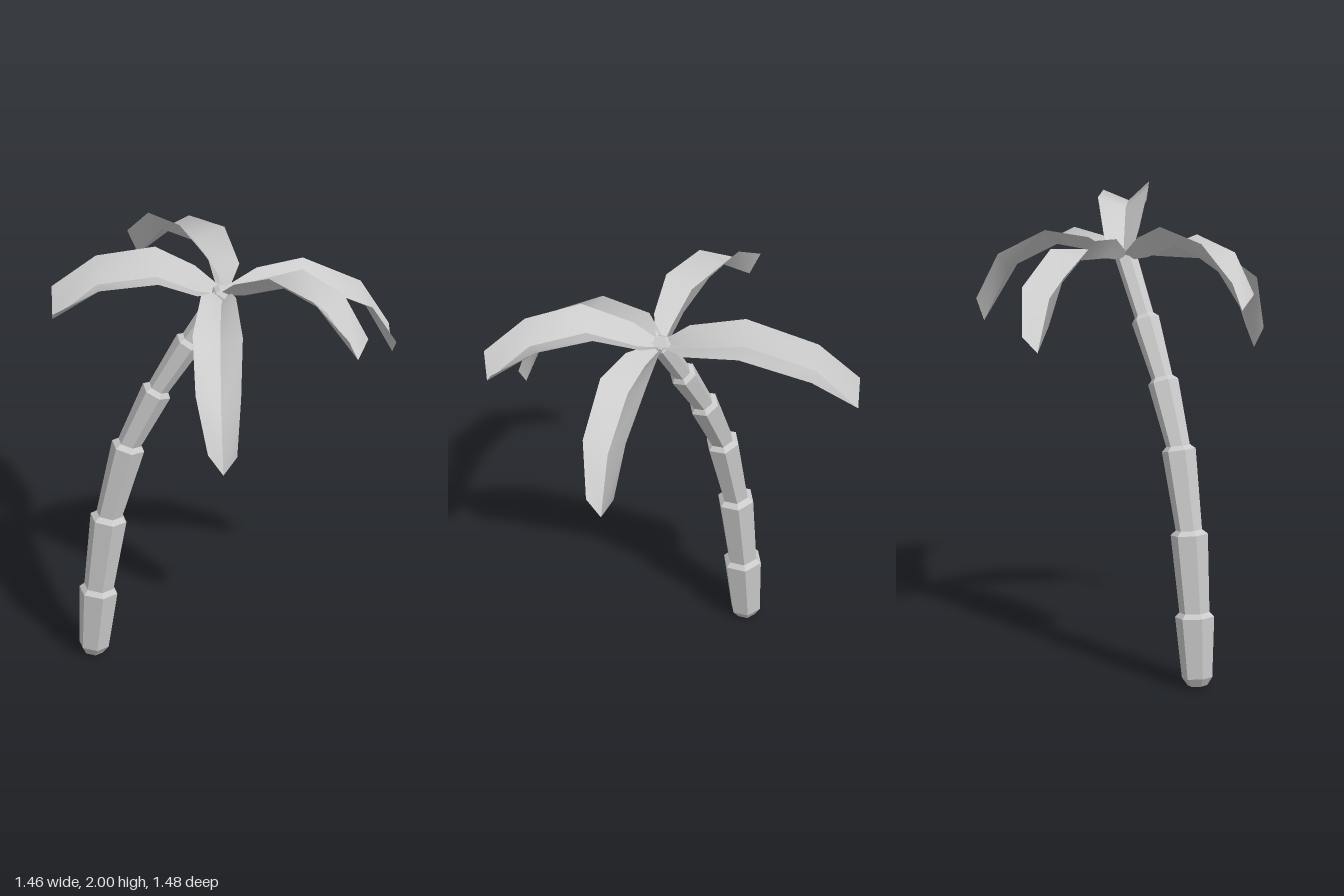
import * as THREE from 'three';

const UP = new THREE.Vector3(0, 1, 0);
const material = (options) => new THREE.MeshStandardMaterial({ color: 0xcccccc, ...options });

// Trunk joints: position, flared radius just below the joint, neck radius just above it
const JOINTS = [
  { at: [-0.54, 0.004, 0.045], neck: 0.066 },
  { at: [-0.517, 0.315, 0.045], flare: 0.085, neck: 0.065 },
  { at: [-0.473, 0.67, 0.045], flare: 0.081, neck: 0.057 },
  { at: [-0.387, 1.025, 0.045], flare: 0.074, neck: 0.051 },
  { at: [-0.262, 1.3, 0.043], flare: 0.067, neck: 0.046 },
  { at: [-0.122, 1.545, 0.04], flare: 0.061, neck: 0.042 },
  { at: [0.025, 1.79, 0.035], flare: 0.048, neck: 0.035 },
];

// Each frond: heading in degrees from +x toward +z, sideways offset of the blade,
// roll (height of one edge over the middle), and edge profile [distance, height]
const CROWN = { x: 0.02, z: 0.03 };
const FRONDS = [
  { name: 'frontFrond', heading: 83, offset: 0.027, roll: 0.005,
    profile: [[0.13, 1.83], [0.4, 1.78], [0.63, 1.61], [0.71, 1.365]] },
  { name: 'frontLeftFrond', heading: 35, offset: -0.025, roll: 0.02,
    profile: [[0.11, 1.86], [0.335, 1.98], [0.585, 1.95], [0.77, 1.82]] },
  { name: 'backLeftFrond', heading: -22, offset: 0.037, roll: -0.015,
    profile: [[0.16, 1.84], [0.373, 1.845], [0.628, 1.7], [0.75, 1.483]] },
  { name: 'backFrond', heading: 237.3, offset: 0.075, roll: -0.03,
    profile: [[0.12, 1.86], [0.363, 1.91], [0.68, 1.815], [0.857, 1.645]] },
  { name: 'rightFrond', heading: 169.6, offset: -0.045, roll: 0.035,
    profile: [[0.12, 1.86], [0.29, 1.945], [0.545, 1.915], [0.736, 1.775]] },
];
const HALF_WIDTH = [0.025, 0.075, 0.108, 0.098, 0.063];
const RIB_DEPTH = [0.02, 0.06, 0.065, 0.065, 0.095];
const OFFSET_SHARE = [0, 0.8, 1, 0.95, 0.3];

// One six-sided trunk segment, flaring upward to a chamfered lip
function trunkSegment(lower, upper, isBase) {
  const start = new THREE.Vector3(...lower.at);
  const axis = new THREE.Vector3(...upper.at).sub(start);
  const length = axis.length();
  const foot = isBase ? [[0.042, 0], [lower.neck, 0.035]] : [[lower.neck, 0]];
  const outline = [[0, 0], ...foot, [upper.flare, length - 0.012],
    [upper.neck, length + 0.008], [0, length + 0.008]];
  const geometry = new THREE.LatheGeometry(
    outline.map(([r, y]) => new THREE.Vector2(r, y)), 6, THREE.MathUtils.degToRad(80));
  const mesh = new THREE.Mesh(geometry, material({ flatShading: true }));
  mesh.position.copy(start);
  mesh.quaternion.setFromUnitVectors(UP, axis.normalize());
  return mesh;
}

// A frond blade folded into a V along its midrib; the halves do not share rib vertices
function frond({ name, heading, offset, roll, profile }) {
  const angle = THREE.MathUtils.degToRad(heading);
  const c = Math.cos(angle), s = Math.sin(angle);
  const rows = [[0, 1.785], ...profile];
  const positions = [], indices = [];
  const addPoint = (along, across, y) => positions.push(
    CROWN.x + c * along - s * across, y, CROWN.z + s * along + c * across);

  for (const side of [-1, 1]) {
    const first = positions.length / 3;
    rows.forEach(([r, y], i) => {
      const middle = offset * OFFSET_SHARE[i];
      const tilt = i ? roll : 0;
      addPoint(r, middle * 0.55, y - RIB_DEPTH[i]);
      addPoint(r, middle + side * HALF_WIDTH[i], y + side * tilt);
      if (i === 0) return;
      const a = first + 2 * (i - 1);
      if (side > 0) indices.push(a, a + 1, a + 2, a + 1, a + 3, a + 2);
      else indices.push(a, a + 2, a + 1, a + 1, a + 2, a + 3);
    });
  }

  const geometry = new THREE.BufferGeometry();
  geometry.setAttribute('position', new THREE.Float32BufferAttribute(positions, 3));
  geometry.setIndex(indices);
  geometry.computeVertexNormals();
  const mesh = new THREE.Mesh(geometry, material({ side: THREE.DoubleSide }));
  mesh.name = name;
  return mesh;
}

export function createModel() {
  const model = new THREE.Group();
  model.name = 'palmTree';

  // Leaning trunk
  const trunk = new THREE.Group();
  trunk.name = 'trunk';
  for (let i = 1; i < JOINTS.length; i++) {
    const segment = trunkSegment(JOINTS[i - 1], JOINTS[i], i === 1);
    segment.name = `trunkSegment${i}`;
    trunk.add(segment);
  }

  // Crown of five fronds
  const crown = new THREE.Group();
  crown.name = 'crown';
  FRONDS.forEach((spec) => crown.add(frond(spec)));

  model.add(trunk, crown);
  return model;
}
